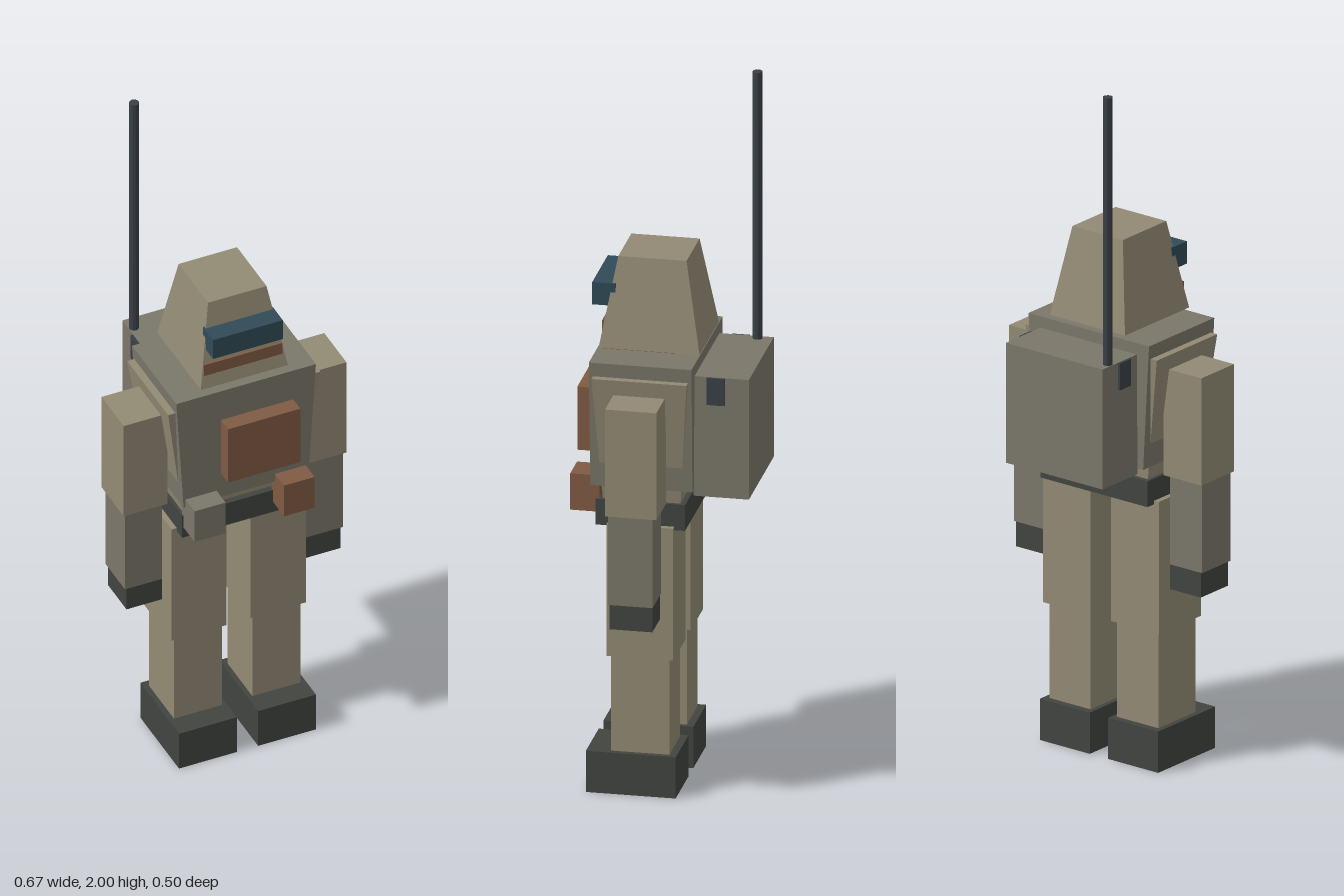
import * as THREE from 'three';

const mat = (color) => new THREE.MeshStandardMaterial({ color, flatShading: true });

export function createModel() {
  const model = new THREE.Group();
  const cloth = mat(0x928a74), vest = mat(0x7b776a), rust = mat(0x805a42);
  const dark = mat(0x41443f), glass = mat(0x304a56), metal = mat(0x3a4046);

  function add(name, geometry, material, parent = model) {
    const mesh = new THREE.Mesh(geometry, material);
    mesh.name = name;
    parent.add(mesh);
    return mesh;
  }

  // Box given by its limits on each axis
  function box(name, material, [x0, x1], [y0, y1], [z0, z1], parent) {
    const g = new THREE.BoxGeometry(x1 - x0, y1 - y0, z1 - z0);
    g.translate((x0 + x1) / 2, (y0 + y1) / 2, (z0 + z1) / 2);
    return add(name, g, material, parent);
  }

  // Box with different half widths and depth ranges at bottom and top
  function taperedBox(name, material, [y0, y1], bottom, top) {
    const g = new THREE.BoxGeometry(2, 1, 1);
    const p = g.attributes.position;
    for (let i = 0; i < p.count; i++) {
      const end = p.getY(i) > 0 ? top : bottom;
      p.setXYZ(i, p.getX(i) * end.x, p.getY(i) > 0 ? y1 : y0, p.getZ(i) > 0 ? end.z[1] : end.z[0]);
    }
    g.computeVertexNormals();
    return add(name, g, material);
  }

  // Head, visor and scarf
  taperedBox('head', cloth, [1.27, 1.525], { x: 0.131, z: [-0.104, 0.177] }, { x: 0.088, z: [-0.059, 0.131] });
  box('visor', glass, [-0.105, 0.105], [1.385, 1.45], [0.135, 0.2]);
  box('scarf', rust, [-0.118, 0.118], [1.264, 1.346], [-0.04, 0.17]);
  box('neck', cloth, [-0.07, 0.07], [1.2, 1.3], [-0.03, 0.1]);

  // Torso, vest and its plate
  taperedBox('torso', cloth, [0.84, 1.215], { x: 0.175, z: [-0.06, 0.155] }, { x: 0.229, z: [-0.088, 0.177] });
  taperedBox('vest', vest, [0.89, 1.255], { x: 0.188, z: [-0.096, 0.188] }, { x: 0.21, z: [-0.098, 0.188] });
  box('chestPlate', rust, [-0.076, 0.142], [0.972, 1.156], [0.185, 0.234]);

  // Belt and pouches
  box('belt', dark, [-0.186, 0.186], [0.775, 0.85], [-0.075, 0.174]);
  box('rightPouch', vest, [-0.182, -0.089], [0.81, 0.916], [0.165, 0.246]);
  box('leftPouch', rust, [0.087, 0.179], [0.81, 0.916], [0.165, 0.246]);

  // Backpack with side clips and aerial
  box('backpack', vest, [-0.168, 0.168], [0.873, 1.222], [-0.249, -0.095]);
  const aerial = add('aerial', new THREE.CylinderGeometry(0.014, 0.014, 0.8, 10), metal);
  aerial.position.set(-0.153, 1.6, -0.207);

  // Limbs, mirrored left and right
  for (const s of [1, -1]) {
    const side = s > 0 ? 'left' : 'right';
    const span = (a, b) => (s > 0 ? [a, b] : [-b, -a]);
    box(side + 'PackClip', metal, span(0.16, 0.175), [1.143, 1.221], [-0.182, -0.132]);

    const arm = new THREE.Group();
    arm.name = side + 'Arm';
    box(side + 'UpperArm', cloth, span(0.204, 0.335), [0.858, 1.17], [-0.026, 0.117], arm);
    box(side + 'Forearm', vest, span(0.217, 0.328), [0.598, 0.858], [-0.014, 0.11], arm);
    box(side + 'Hand', dark, span(0.215, 0.322), [0.525, 0.598], [-0.012, 0.107], arm);

    const leg = new THREE.Group();
    leg.name = side + 'Leg';
    box(side + 'Thigh', cloth, span(0.036, 0.202), [0.4, 0.785], [-0.045, 0.14], leg);
    box(side + 'Shin', cloth, span(0.046, 0.19), [0.12, 0.4], [-0.032, 0.13], leg);
    box(side + 'Boot', dark, span(0.032, 0.206), [0, 0.12], [-0.053, 0.197], leg);
    model.add(arm, leg);
  }
  return model;
}
